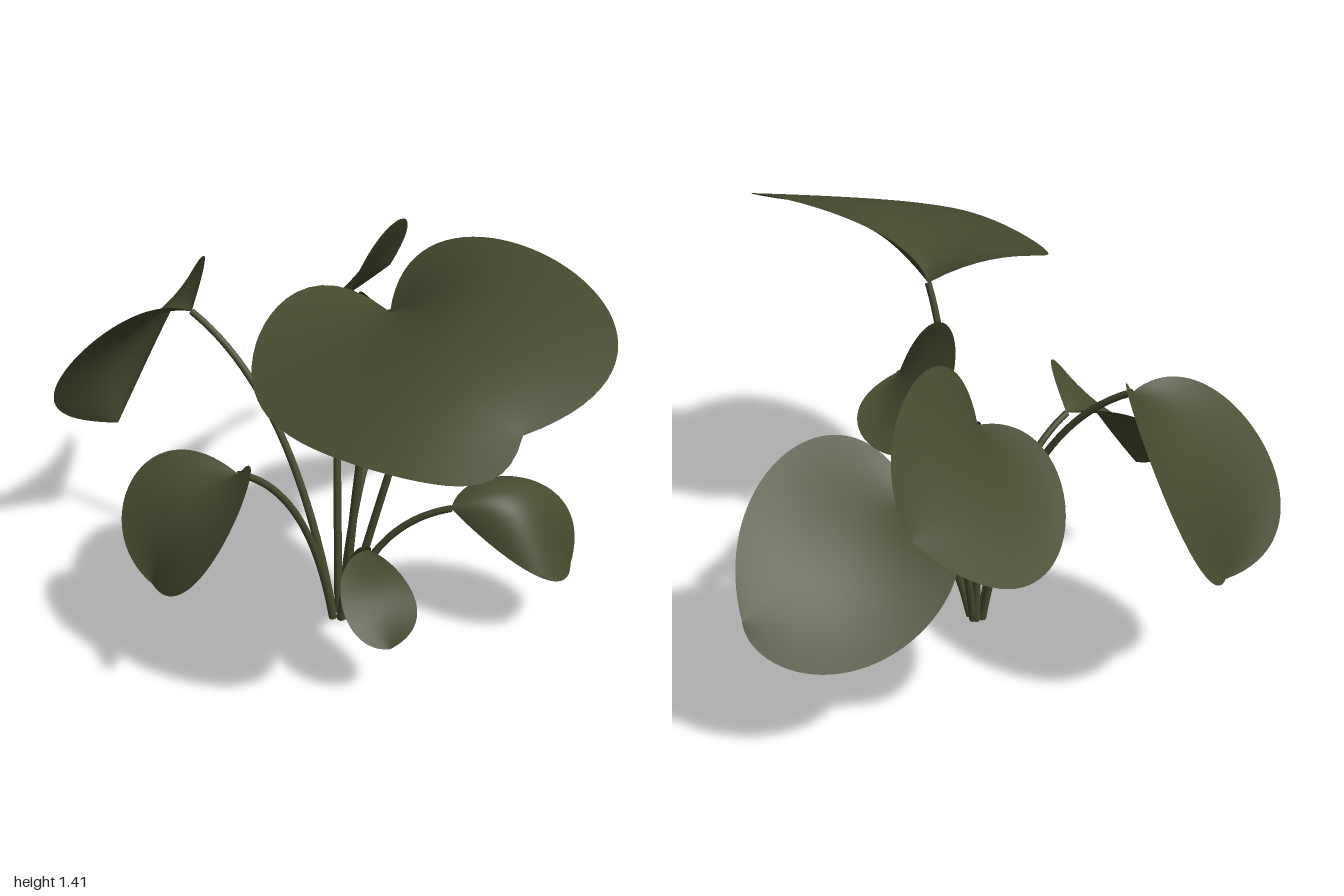
import * as THREE from 'three';

const green = new THREE.MeshStandardMaterial({ color: 0x464a2e, side: THREE.DoubleSide });
green.name = 'olive green';

const v = (x, y, z) => new THREE.Vector3(x, y, z);

// Point at t on the smooth polynomial curve through evenly spaced points
function through(points, t) {
  const s = t * (points.length - 1);
  const sum = v(0, 0, 0);
  points.forEach((p, i) => {
    let weight = 1;
    points.forEach((_, k) => {
      if (k !== i) weight *= (s - k) / (i - k);
    });
    sum.addScaledVector(p, weight);
  });
  return sum;
}

// Leaf blade: arched cross-sections spanning left edge, midrib and right edge
function blade(left, rib, right, along = 44, across = 20) {
  const positions = [];
  const index = [];
  const w = across + 1;
  for (let i = 0; i <= along; i++) {
    const section = [left, rib, right].map((points) => through(points, i / along));
    for (let j = 0; j <= across; j++) positions.push(...through(section, j / across).toArray());
  }
  for (let i = 0; i < along; i++) {
    for (let j = 0; j < across; j++) {
      const a = i * w + j;
      index.push(a, a + w, a + 1, a + 1, a + w, a + w + 1);
    }
  }
  const g = new THREE.BufferGeometry();
  g.setAttribute('position', new THREE.Float32BufferAttribute(positions, 3));
  g.setIndex(index);
  g.computeVertexNormals();
  return g;
}

// Stalk: rises from the shared root, arches out to the leaf and thins on the way
function stalk(end, lean) {
  const root = v(-0.025, 0.01, 0.175);
  const outward = v(end.x - root.x, 0, end.z - root.z).setLength(0.022);
  root.add(outward);
  const control = root.clone().lerp(end, lean);
  control.y = end.y * 0.8;
  const curve = new THREE.QuadraticBezierCurve3(root, control, end);
  const segments = 28;
  const sides = 8;
  const g = new THREE.TubeGeometry(curve, segments, 1, sides);
  const pos = g.attributes.position;
  const p = v(0, 0, 0);
  for (let i = 0; i < pos.count; i++) {
    const t = Math.floor(i / (sides + 1)) / segments;
    const centre = curve.getPointAt(t);
    p.fromBufferAttribute(pos, i).sub(centre).multiplyScalar(0.014 - 0.003 * t).add(centre);
    pos.setXYZ(i, p.x, p.y, p.z);
  }
  return g;
}

// One leaf with its stalk
function makeLeaf(name, { base, mid, tip, left, right, lean = 0.25 }) {
  const group = new THREE.Group();
  group.name = name;
  const leafBlade = new THREE.Mesh(
    blade([base, ...left, tip], [base, mid, tip], [base, ...right, tip]),
    green,
  );
  leafBlade.name = 'blade';
  const stem = new THREE.Mesh(stalk(base, lean), green);
  stem.name = 'stalk';
  group.add(leafBlade, stem);
  return group;
}

export function createModel() {
  const plant = new THREE.Group();
  plant.name = 'leafyPlant';
  plant.add(
    makeLeaf('largeTopLeaf', {
      base: v(0.19, 1.18, 0.14), mid: v(0.58, 1.28, 0.3), tip: v(0.95, 1.16, 0.36),
      left: [v(0.05, 1.23, 0.47), v(0.28, 1.13, 0.71), v(0.62, 1.12, 0.76), v(0.92, 1.11, 0.64)],
      right: [v(0.37, 1.41, -0.08), v(0.85, 1.34, -0.07)],
      lean: 0.5,
    }),
    makeLeaf('frontRightDroopingLeaf', {
      base: v(-0.52, 1.0, 0.35), mid: v(-0.78, 0.86, 0.36), tip: v(-0.88, 0.48, 0.43),
      left: [v(-0.6, 1.0, 0.56), v(-0.74, 0.83, 0.69), v(-0.88, 0.62, 0.66)],
      right: [v(-0.74, 1.06, 0.14), v(-0.97, 0.78, 0.12)],
    }),
    makeLeaf('frontLeaf', {
      base: v(-0.05, 0.68, 0.54), mid: v(-0.07, 0.63, 0.73), tip: v(-0.09, 0.4, 0.85),
      left: [v(-0.28, 0.7, 0.67), v(-0.29, 0.55, 0.81)],
      right: [v(0.16, 0.76, 0.67), v(0.17, 0.56, 0.84)],
    }),
    makeLeaf('rightLeaf', {
      base: v(-0.24, 0.9, -0.02), mid: v(-0.49, 0.88, -0.2), tip: v(-0.6, 0.87, -0.57),
      left: [v(-0.52, 0.81, 0.06), v(-0.74, 0.68, -0.2)],
      right: [v(-0.26, 1.16, -0.2), v(-0.42, 1.12, -0.48)],
      lean: 0.15,
    }),
    makeLeaf('backLeaf', {
      base: v(-0.17, 0.68, -0.21), mid: v(-0.22, 0.64, -0.55), tip: v(-0.21, 0.54, -0.88),
      left: [v(-0.46, 0.6, -0.28), v(-0.5, 0.44, -0.55), v(-0.36, 0.41, -0.8)],
      right: [v(0.03, 0.87, -0.36), v(0, 0.81, -0.67)],
    }),
    makeLeaf('centreLeaf', {
      base: v(0.2, 0.9, 0.03), mid: v(0.02, 0.92, -0.09), tip: v(-0.2, 0.88, -0.17),
      left: [v(0.06, 1.11, 0.06), v(-0.11, 1.1, 0)],
      right: [v(0.1, 0.85, -0.22), v(-0.1, 0.83, -0.27)],
      lean: 0.75,
    }),
    makeLeaf('backLeftSmallLeaf', {
      base: v(0.3, 0.49, -0.02), mid: v(0.46, 0.48, -0.2), tip: v(0.5, 0.23, -0.37),
      left: [v(0.45, 0.37, -0.09), v(0.57, 0.28, -0.19)],
      right: [v(0.31, 0.54, -0.2), v(0.42, 0.46, -0.37)],
    }),
    makeLeaf('frontLeftSmallLeaf', {
      base: v(0.2, 0.4, 0.24), mid: v(0.35, 0.37, 0.34), tip: v(0.46, 0.23, 0.38),
      left: [v(0.26, 0.39, 0.4), v(0.37, 0.3, 0.46)],
      right: [v(0.35, 0.4, 0.25), v(0.47, 0.33, 0.28)],
    }),
  );
  return plant;
}
